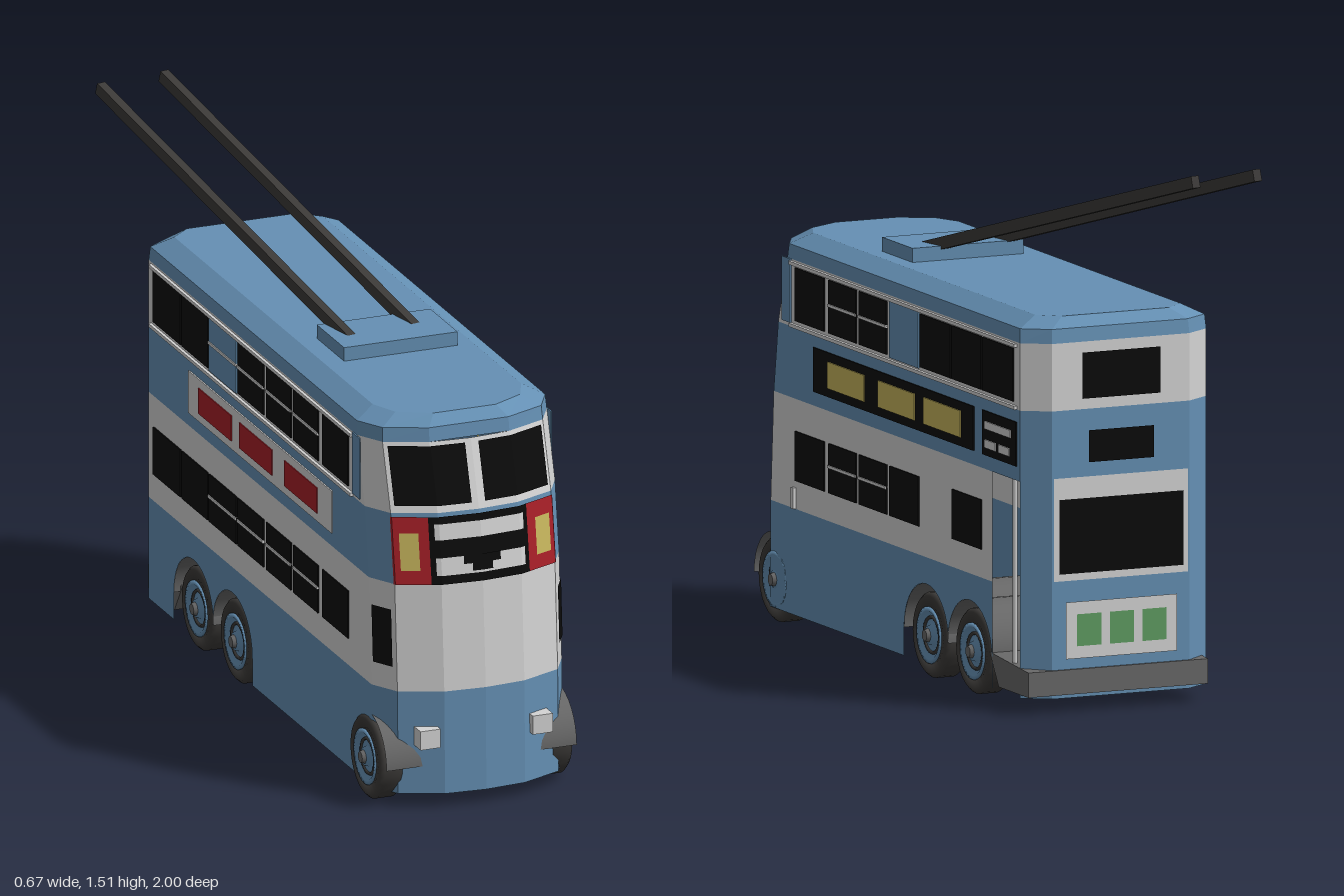
import * as THREE from 'three';

const mat = (name, color, side = THREE.FrontSide) => {
  const m = new THREE.MeshStandardMaterial({ color, side });
  m.name = name;
  return m;
};
const blue = mat('body blue', 0x6590b4, THREE.DoubleSide);
const white = mat('panel white', 0xd4d4d4, THREE.DoubleSide);
const grey = mat('chassis grey', 0x686868, THREE.DoubleSide);
const black = mat('window black', 0x0b0b0b);
const dark = mat('tyre dark grey', 0x3c3a38);
const red = mat('panel red', 0xa82028);
const yellow = mat('panel yellow', 0xc9b75e);
const green = mat('panel green', 0x5f9c62);

const HALF = 0.285, CENTRE = 0.035;
// Front edge by height, and how far the front and rear curve away by width
const FRONT = [[0.04, 1], [0.34, 0.995], [0.65, 0.975], [0.85, 0.945], [1.04, 0.885]];
const NOSE = [[0, 0], [0.12, 0.01], [0.24, 0.06], [HALF, 0.14]];
const TAIL = [[0, 0], [0.21, 0], [HALF, 0.05]];

function lookup(table, v) {
  let i = 1;
  while (i < table.length - 1 && v > table[i][0]) i++;
  const [a, fa] = table[i - 1], [b, fb] = table[i];
  return fa + (fb - fa) * (v - a) / (b - a);
}
const frontZ = (x, y) => lookup(FRONT, y) - lookup(NOSE, Math.abs(x));
const rearZ = (x) => -0.83 + lookup(TAIL, Math.abs(x));

function facets(pos, idx) {
  let g = new THREE.BufferGeometry();
  g.setAttribute('position', new THREE.Float32BufferAttribute(pos, 3));
  g.setIndex(idx);
  g = g.toNonIndexed();
  g.computeVertexNormals();
  return g;
}

export function createModel() {
  const model = new THREE.Group();
  const bus = new THREE.Group();
  bus.name = 'bus';
  bus.position.x = CENTRE;
  model.add(bus);

  const add = (name, geo, m, x = 0, y = 0, z = 0, parent = bus) => {
    const mesh = new THREE.Mesh(geo, m);
    mesh.name = name;
    mesh.position.set(x, y, z);
    parent.add(mesh);
    return mesh;
  };
  const box = (name, m, w, h, d, x, y, z) => add(name, new THREE.BoxGeometry(w, h, d), m, x, y, z);

  // A piece of the curved front (end = 1) or rear (end = -1) skin
  function patch(name, end, x0, x1, y0, y1, m, off = 0) {
    const cut = (a, b, list) => [a, ...list.filter(v => v > a + 1e-4 && v < b - 1e-4), b];
    const widths = (end > 0 ? NOSE : TAIL).map(p => p[0]);
    const xs = cut(x0, x1, [...widths.slice(1).reverse().map(v => -v), ...widths]);
    const ys = cut(y0, y1, FRONT.map(p => p[0]));
    const pos = [], idx = [];
    for (const y of ys) for (const x of xs) pos.push(x, y, end > 0 ? frontZ(x, y) + off : rearZ(x) - off);
    for (let j = 0; j < ys.length - 1; j++) for (let i = 0; i < xs.length - 1; i++) {
      const a = j * xs.length + i, b = a + 1, c = b + xs.length, d = a + xs.length;
      idx.push(...(end > 0 ? [a, b, c, a, c, d] : [a, c, b, a, d, c]));
    }
    add(name, facets(pos, idx), m);
  }

  // Flat side panel; arches cut the double rear wheel opening
  function sidePanel(name, s, y0, y1, zRear, m, arches = false) {
    const sh = new THREE.Shape();
    sh.moveTo(-frontZ(HALF, y0), y0);
    if (arches) {
      const a = Math.acos(0.1425 / 0.145);
      sh.lineTo(0.02, y0);
      sh.absarc(0.165, 0.12, 0.145, Math.PI, a, true);
      sh.absarc(0.45, 0.12, 0.145, Math.PI - a, 0, true);
      sh.lineTo(0.595, y0);
    }
    sh.lineTo(-zRear, y0);
    sh.lineTo(-zRear, y1);
    sh.lineTo(-frontZ(HALF, y1), y1);
    add(name, new THREE.ShapeGeometry(sh, 16), m, s * HALF).rotation.y = Math.PI / 2;
  }
  // Thin plate on a side wall
  const plate = (name, s, z0, z1, y0, y1, m, t = 0.004) =>
    box(name, m, t, y1 - y0, Math.abs(z1 - z0), s * (HALF + t / 2), (y0 + y1) / 2, (z0 + z1) / 2);

  // Walls in horizontal bands; the open platform is at the rear of the +x side
  const bands = [[0.04, 0.34, blue, blue], [0.34, 0.65, white, blue], [0.65, 0.85, blue, blue], [0.85, 1.04, white, white]];
  bands.forEach(([y0, y1, m, rearM], i) => {
    patch('frontWall', 1, -HALF, HALF, y0, y1, m);
    patch('rearWall', -1, -HALF, HALF, y0, y1, rearM);
    for (const s of [1, -1]) sidePanel('sideWall', s, y0, y1, s > 0 && i < 2 ? -0.6 : -0.78, m, i === 0);
  });

  // Roof with chamfered edges
  const ringX = [-HALF, -0.24, -0.12, 0.12, 0.24, HALF], tailX = [HALF, 0.21, -0.21, -HALF];
  const rings = [[1.04, 0.885, 1, 0], [1.08, 0.88, 0.99, 0.005], [1.11, 0.85, 0.78, 0.035]];
  const pos = [], idx = [], n = ringX.length + tailX.length;
  for (const [y, f, k, r] of rings) {
    for (const x of ringX) pos.push(x * k, y, f - lookup(NOSE, Math.abs(x)));
    for (const x of tailX) pos.push(x * k, y, rearZ(x) + r);
  }
  for (let j = 0; j < 2; j++) for (let i = 0; i < n; i++) {
    const a = j * n + i, b = j * n + (i + 1) % n;
    idx.push(a, b, b + n, a, b + n, a + n);
  }
  pos.push(0, 1.11, 0);
  for (let i = 0; i < n; i++) idx.push(2 * n + i, 2 * n + (i + 1) % n, 3 * n);
  add('roof', facets(pos, idx), blue);

  // Side windows
  const slots = [[-0.74, -0.54], [-0.53, -0.34], [-0.33, -0.13], [-0.12, 0.07], [0.09, 0.27], [0.29, 0.47], [0.5, 0.69]];
  for (const s of [1, -1]) {
    slots.forEach(([a, b], i) => {
      if (i === (s > 0 ? 3 : 2)) plate('blankPanel', s, a, b, 0.865, 1.025, blue);
      else plate('upperWindow', s, a, b, 0.87, 1.02, black);
      if (s < 0 || i === 1 || i > 2) plate('lowerWindow', s, a, b, 0.42, 0.56, black);
      const railed = s > 0 ? i === 4 || i === 5 : i > 1 && i < 6;
      if (railed) {
        plate('upperRail', s, a, b, 0.945, 0.953, white, 0.007);
        plate('lowerRail', s, a, b, 0.491, 0.499, white, 0.007);
      }
    });
    for (const y of [0.855, 1.03]) plate('windowLedge', s, -0.76, 0.72, y - 0.005, y + 0.005, white, 0.009);
    plate('frontCornerPanel', s, 0.72, 0.775, 0.86, 1.04, blue);

    // Three coloured boards on each side
    plate('sideBoard', s, -0.48, 0.57, 0.69, 0.815, s > 0 ? black : white);
    for (const z of [0.35, 0.02, -0.28]) plate('boardPanel', s, z - 0.12, z + 0.12, 0.715, 0.79, s > 0 ? yellow : red, 0.007);
    // Cab side window on the rounded corner
    patch('cabWindow', 1, s > 0 ? 0.25 : -0.284, s > 0 ? 0.284 : -0.25, 0.41, 0.575, black, 0.01);
  }
  plate('rearSideBoard', 1, -0.76, -0.54, 0.69, 0.815, black);
  plate('boardBar', 1, -0.73, -0.56, 0.765, 0.787, white, 0.007);
  plate('boardBar', 1, -0.63, -0.56, 0.712, 0.735, white, 0.007);
  plate('boardBar', 1, -0.72, -0.65, 0.712, 0.735, white, 0.007);
  plate('doorHandle', 1, 0.69, 0.705, 0.34, 0.4, white, 0.009);

  // Front windows, destination board and lamps
  for (const s of [1, -1]) {
    const side = (name, a, b, y0, y1, m, off) =>
      patch(name, 1, Math.min(s * a, s * b), Math.max(s * a, s * b), y0, y1, m, off);
    side('frontWindow', 0.02, 0.23, 0.87, 1.03, black, 0.005);
    side('redPanel', 0.147, 0.243, 0.65, 0.84, red, 0.005);
    side('yellowPanel', 0.175, 0.225, 0.69, 0.795, yellow, 0.008);
    box('headlight', white, 0.06, 0.055, 0.05, s * 0.168, 0.21, 0.977);
  }
  patch('destinationBoard', 1, -0.147, 0.147, 0.65, 0.84, black, 0.005);
  patch('boardStripe', 1, -0.133, 0.133, 0.775, 0.82, white, 0.007);
  patch('boardStripe', 1, -0.133, 0.133, 0.675, 0.725, white, 0.007);
  patch('boardNotch', 1, -0.055, 0.055, 0.703, 0.727, black, 0.009);
  patch('boardNotch', 1, -0.03, 0.03, 0.682, 0.703, black, 0.009);

  // Rear windows and boards
  patch('rearUpperWindow', -1, -0.12, 0.12, 0.88, 1.01, black, 0.005);
  patch('rearSign', -1, -0.1, 0.1, 0.7, 0.79, black, 0.005);
  patch('rearWindowFrame', -1, -0.205, 0.205, 0.37, 0.66, white, 0.003);
  patch('rearWindow', -1, -0.19, 0.19, 0.39, 0.6, black, 0.006);
  patch('rearBoard', -1, -0.17, 0.17, 0.15, 0.31, white, 0.005);
  for (const x of [-0.1, 0, 0.1]) patch('greenPanel', -1, x - 0.037, x + 0.037, 0.185, 0.275, green, 0.008);

  // Open rear platform: sloping-edged floor and hand pole
  const step = new THREE.Shape([[0.58, 0.14], [0.64, 0.05], [0.835, 0.05], [0.835, 0.12]].map(p => new THREE.Vector2(...p)));
  add('platform', new THREE.ExtrudeGeometry(step, { depth: 0.55, bevelEnabled: false }), grey, -0.265).rotation.y = Math.PI / 2;
  add('platformPole', new THREE.CylinderGeometry(0.008, 0.008, 0.54, 8), white, 0.27, 0.39, -0.715);

  // Wheels with dished hubs, and their arches
  const ring = [[0.075, -0.035], [0.11, -0.035], [0.12, -0.025], [0.12, 0.025], [0.11, 0.035], [0.075, 0.035], [0.075, -0.035]];
  const dish = [[0.08, -0.03], [0.08, 0.038], [0.068, 0.038], [0.055, 0.026], [0.03, 0.026], [0.025, 0.04], [0, 0.04]];
  const lathe = pts => new THREE.LatheGeometry(pts.map(p => new THREE.Vector2(...p)), 28);
  function wheel(name, s, x, z) {
    const g = new THREE.Group();
    g.name = name;
    g.position.set(x, 0.12, z);
    g.rotation.z = -s * Math.PI / 2;
    add('tyre', lathe(ring), dark, 0, 0, 0, g);
    add('hub', lathe(dish), blue, 0, 0, 0, g);
    add('hubRing', new THREE.TorusGeometry(0.05, 0.005, 6, 24), dark, 0, 0.027, 0, g).rotation.x = Math.PI / 2;
    add('hubCap', new THREE.CylinderGeometry(0.016, 0.02, 0.012, 12), grey, 0, 0.045, 0, g);
    bus.add(g);
  }
  const arch = (name, r, w, x, z) =>
    add(name, new THREE.CylinderGeometry(r, r, w, 16, 1, true, 0, Math.PI), grey, x, 0.12, z).rotation.z = Math.PI / 2;
  for (const s of [1, -1]) {
    for (const z of [-0.165, -0.45]) wheel('rearWheel', s, s * 0.24, z);
    wheel('frontWheel', s, s > 0 ? 0.247 : -0.258, 0.83);
  }
  for (const z of [-0.165, -0.45]) arch('rearWheelArch', 0.145, 2 * HALF, 0, z);
  arch('frontWheelArch', 0.135, 2 * HALF, 0, 0.83);

  // Roof plinth and the two trolley poles
  box('polePlinth', blue, 0.34, 0.04, 0.2, 0.005, 1.13, 0.26);
  for (const [a, b] of [[[-0.07, 1.13, 0.28], [-0.32, 1.495, -0.965]], [[0.13, 1.13, 0.26], [-0.12, 1.495, -0.99]]]) {
    const A = new THREE.Vector3(...a), B = new THREE.Vector3(...b);
    const mid = A.clone().add(B).multiplyScalar(0.5);
    const pole = add('trolleyPole', new THREE.BoxGeometry(0.026, 0.034, A.distanceTo(B)), dark, mid.x, mid.y, mid.z, model);
    pole.lookAt(B);
  }
  return model;
}
